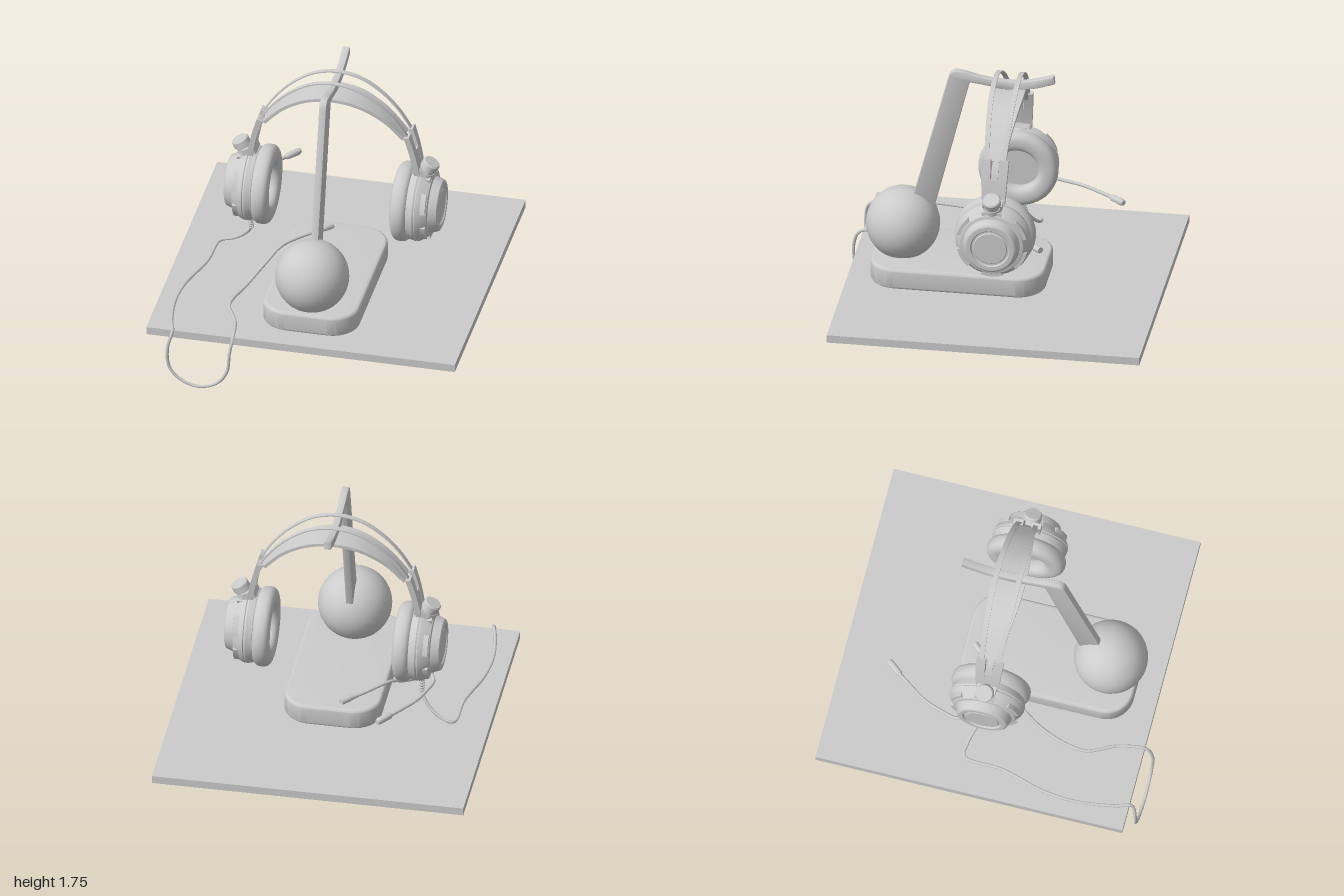
import * as THREE from 'three';
import { toCreasedNormals } from 'three/addons/utils/BufferGeometryUtils.js';

const material = new THREE.MeshStandardMaterial({ color: 0xcccccc, side: THREE.DoubleSide });
const V2 = (p) => new THREE.Vector2(p[0], p[1]);
const V3 = (p) => new THREE.Vector3(...p);

function add(parent, name, geometry, pos = [0, 0, 0], rot = [0, 0, 0]) {
  const mesh = new THREE.Mesh(geometry, material);
  mesh.name = name;
  mesh.position.set(...pos);
  mesh.rotation.set(...rot);
  parent.add(mesh);
  return mesh;
}

// Solid of revolution about the x axis from [x, radius] points
function turned(points, segments = 48) {
  const g = new THREE.LatheGeometry(points.map(([x, r]) => new THREE.Vector2(r, x)), segments);
  return toCreasedNormals(g.rotateZ(-Math.PI / 2), 0.5);
}

function tube(points, radius, segments = 60) {
  return new THREE.TubeGeometry(new THREE.CatmullRomCurve3(points.map(V3)), segments, radius, 8);
}

// Straight rod between two points
function rod(parent, name, a, b, r0, r1) {
  const from = V3(a), dir = V3(b).sub(from);
  const mesh = add(parent, name, new THREE.CylinderGeometry(r1, r0, dir.length(), 16));
  mesh.position.copy(from).addScaledVector(dir, 0.5);
  mesh.quaternion.setFromUnitVectors(new THREE.Vector3(0, 1, 0), dir.normalize());
}

// Flat strip following a curve in xy, with its z centre and half width given along the length
function ribbon(points, thickness, zCentre, halfWidth, n = 40) {
  const curve = new THREE.SplineCurve(points.map(V2));
  const pos = [], index = [];
  for (let i = 0; i <= n; i++) {
    const t = i / n, p = curve.getPoint(t), d = curve.getTangent(t);
    const nx = -d.y * thickness / 2, ny = d.x * thickness / 2;
    const z = zCentre(t), w = halfWidth(t);
    for (const [s, k] of [[1, 1], [1, -1], [-1, -1], [-1, 1]]) pos.push(p.x + s * nx, p.y + s * ny, z + k * w);
    if (i === n) break;
    for (let k = 0; k < 4; k++) {
      const a = i * 4 + k, b = i * 4 + (k + 1) % 4;
      index.push(a, a + 4, b, b, a + 4, b + 4);
    }
  }
  const e = n * 4;
  index.push(0, 1, 2, 0, 2, 3, e, e + 2, e + 1, e, e + 3, e + 2);
  const g = new THREE.BufferGeometry();
  g.setAttribute('position', new THREE.Float32BufferAttribute(pos, 3));
  g.setIndex(index);
  return toCreasedNormals(g, 0.6);
}

const mirrored = (half) => [...half.map(([x, y]) => [-x, y]), ...half.slice(0, -1).reverse()];

// Ear cup, hinge and slider arm for the +x side, centred on z = 0
function earpiece() {
  const g = new THREE.Group();
  const cup = new THREE.Group();
  cup.name = 'earCup';
  cup.position.y = 0.877;
  g.add(cup);

  add(cup, 'shell', turned([[0.465, 0], [0.465, 0.2], [0.485, 0.225], [0.525, 0.235], [0.535, 0.23], [0.54, 0.235],
    [0.56, 0.228], [0.608, 0.195], [0.612, 0.175], [0.635, 0.168], [0.662, 0.158], [0.668, 0.148],
    [0.668, 0.122], [0.658, 0.115], [0.658, 0.105], [0.664, 0.1], [0.664, 0]]));

  const pad = [];
  for (let i = 0; i <= 24; i++) {
    const a = i / 24 * Math.PI * 2, c = Math.cos(a), s = Math.sin(a);
    const sq = (v) => Math.sign(v) * Math.abs(v) ** 0.8;
    pad.push([0.435 + 0.055 * sq(s), 0.186 + 0.061 * sq(c)]);
  }
  add(cup, 'earPad', turned(pad));

  // Raised panels around the sloping rim
  for (let i = 0; i < 6; i++) {
    const a = Math.PI / 2 + i * Math.PI / 3, h = 0.3;
    const s = new THREE.Shape();
    s.absarc(0, 0, 0.22, a - h, a + h, false);
    s.absarc(0, 0, 0.185, a + h, a - h, true);
    s.closePath();
    const panel = new THREE.ExtrudeGeometry(s, { depth: 0.04, bevelEnabled: false, curveSegments: 10 });
    add(cup, 'rimPanel', panel.rotateY(Math.PI / 2), [0.563, 0, 0]);
  }

  // Tilted hinge with its knob
  const hinge = new THREE.Group();
  hinge.name = 'hinge';
  hinge.position.set(0.555, 1.09, 0);
  hinge.rotation.z = -0.48;
  g.add(hinge);
  add(hinge, 'hingeCollar', new THREE.CylinderGeometry(0.05, 0.07, 0.07, 32), [0, 0, 0]);
  add(hinge, 'hingeBlock', new THREE.BoxGeometry(0.08, 0.05, 0.12), [-0.035, 0.02, 0]);
  add(hinge, 'hingeKnob', turned([[0, 0], [0, 0.046], [0.02, 0.046], [0.022, 0.055], [0.062, 0.055], [0.07, 0.048], [0.07, 0]], 32),
    [0, 0.035, 0], [0, 0, Math.PI / 2]);

  // Slotted arm: two rails joined by a lower plate
  const path = [[0.46, 1.383], [0.49, 1.28], [0.512, 1.18], [0.522, 1.11]];
  for (const s of [-1, 1]) {
    add(g, 'armRail', ribbon(path, 0.034, (t) => s * (0.056 - 0.012 * t), (t) => 0.03 - 0.006 * t, 12));
  }
  add(g, 'armPlate', ribbon([[0.494, 1.265], [0.512, 1.18], [0.522, 1.11]], 0.03, () => 0, () => 0.04, 8));
  add(g, 'armSlider', ribbon([[0.425, 1.365], [0.47, 1.305], [0.505, 1.21]], 0.012, () => 0, () => 0.02, 8));
  return g;
}

export function createModel() {
  const model = new THREE.Group();

  // Table top
  add(model, 'tableTop', new THREE.BoxGeometry(1.93, 0.05, 1.93), [0, 0.335, -0.035]);

  // Stand: rounded base, ball and hooked post
  const stand = new THREE.Group();
  stand.name = 'stand';
  model.add(stand);
  const bev = 0.02, w = 0.3 - bev, d = 0.54 - bev, r = 0.15;
  const plan = new THREE.Shape();
  plan.absarc(w - r, d - r, r, 0, Math.PI / 2);
  plan.absarc(r - w, d - r, r, Math.PI / 2, Math.PI);
  plan.absarc(r - w, r - d, r, Math.PI, Math.PI * 1.5);
  plan.absarc(w - r, r - d, r, Math.PI * 1.5, Math.PI * 2);
  const base = new THREE.ExtrudeGeometry(plan, { depth: 0.135 - 2 * bev, bevelThickness: bev, bevelSize: bev, bevelSegments: 4, curveSegments: 12 });
  add(stand, 'base', toCreasedNormals(base.rotateX(-Math.PI / 2), 0.6), [0, 0.36 + bev, 0.25]);
  add(stand, 'ball', new THREE.SphereGeometry(0.227, 32, 20), [0, 0.673, 0.613]);

  const side = new THREE.Shape();
  side.moveTo(0.58, 0.75);
  side.lineTo(0.33, 1.7);
  side.quadraticCurveTo(0.32, 1.74, 0.28, 1.743);
  side.lineTo(0.22, 1.735);
  side.splineThru([[0.12, 1.71], [0, 1.698], [-0.1, 1.698], [-0.2, 1.715], [-0.32, 1.752]].map(V2));
  side.lineTo(-0.325, 1.7);
  side.splineThru([[-0.22, 1.665], [-0.12, 1.648], [0, 1.643], [0.1, 1.66], [0.2, 1.672]].map(V2));
  side.lineTo(0.43, 0.75);
  side.closePath();
  const post = new THREE.ExtrudeGeometry(side, { depth: 0.03, bevelThickness: 0.007, bevelSize: 0.005, bevelOffset: -0.005, bevelSegments: 2 });
  add(stand, 'post', toCreasedNormals(post.translate(0, 0, -0.015).rotateY(-Math.PI / 2), 0.6));

  // Headset
  const headset = new THREE.Group();
  headset.name = 'headset';
  headset.position.z = -0.03;
  model.add(headset);
  for (const s of [1, -1]) {
    const ear = earpiece();
    ear.name = s > 0 ? 'leftEarpiece' : 'rightEarpiece';
    ear.rotation.y = s > 0 ? 0 : Math.PI;
    headset.add(ear);
  }
  const arch = (t) => Math.sin(Math.PI * t);
  const strap = mirrored([[0.435, 1.355], [0.33, 1.467], [0.225, 1.54], [0.12, 1.584], [0, 1.6]]);
  add(headset, 'headStrap', ribbon(strap, 0.02, () => 0, (t) => 0.06 + 0.045 * arch(t) ** 1.3));
  const bow = mirrored([[0.47, 1.35], [0.455, 1.385], [0.38, 1.495], [0.277, 1.598], [0.147, 1.678], [0, 1.706]]);
  for (const s of [-1, 1]) {
    add(headset, 'headBow', ribbon(bow, 0.008, (t) => s * (0.042 + 0.03 * arch(t)), () => 0.015, 60));
  }

  // Microphone boom
  const mic = new THREE.Group();
  mic.name = 'microphone';
  model.add(mic);
  add(mic, 'boom', tube([[-0.6, 0.73, -0.12], [-0.635, 0.72, -0.2], [-0.61, 0.716, -0.3], [-0.57, 0.716, -0.41], [-0.445, 0.717, -0.6]], 0.011, 24));
  const head = turned([[0, 0], [0, 0.012], [0.015, 0.02], [0.1, 0.022], [0.117, 0.016], [0.12, 0]], 16);
  add(mic, 'microphoneHead', head, [-0.447, 0.717, -0.597], [0, Math.atan2(0.095, 0.075), 0]);

  // Cable: across the table, hanging over the front edge and back up to the plug
  const cable = new THREE.Group();
  cable.name = 'cable';
  model.add(cable);
  add(cable, 'cord', tube([[-0.535, 0.66, -0.02], [-0.535, 0.54, -0.055], [-0.58, 0.465, -0.09], [-0.66, 0.4, -0.12],
    [-0.74, 0.373, -0.12], [-0.767, 0.372, 0.13], [-0.84, 0.372, 0.4], [-0.857, 0.372, 0.61], [-0.825, 0.373, 0.85],
    [-0.797, 0.368, 0.945], [-0.822, 0.26, 0.975], [-0.81, 0.124, 0.975], [-0.742, 0.047, 0.977], [-0.623, 0.012, 0.98],
    [-0.51, 0.055, 0.982], [-0.447, 0.15, 0.985], [-0.432, 0.28, 0.985], [-0.42, 0.368, 0.945], [-0.445, 0.372, 0.77],
    [-0.524, 0.372, 0.58], [-0.47, 0.375, 0.34], [-0.39, 0.44, 0.17], [-0.32, 0.5, 0.06], [-0.18, 0.508, -0.106],
    [-0.14, 0.508, -0.145]], 0.01, 240));
  for (let i = 0; i < 7; i++) {
    const t = i / 6;
    add(cable, 'strainReliefRing', new THREE.TorusGeometry(0.012, 0.006, 6, 14),
      [-0.535, 0.64 - 0.1 * t, -0.025 - 0.03 * t], [Math.PI / 2 + 0.3, 0, 0]);
  }
  rod(cable, 'plugSleeve', [-0.155, 0.508, -0.13], [-0.105, 0.51, -0.18], 0.012, 0.018);
  rod(cable, 'plugBody', [-0.105, 0.51, -0.18], [-0.065, 0.51, -0.225], 0.02, 0.02);
  return model;
}
